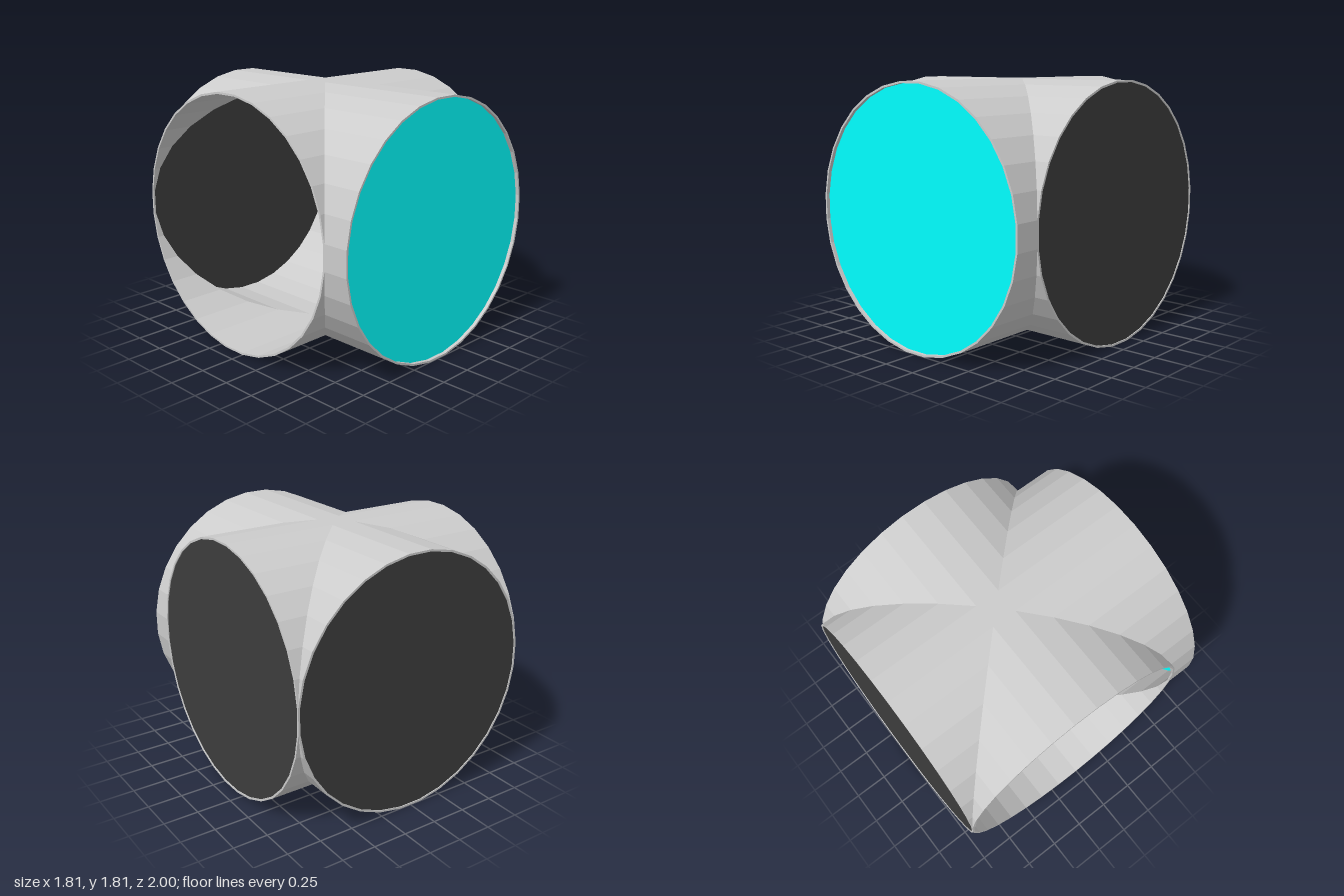
import * as THREE from 'three';

const SIDES = 32;
const FLAT = 0.907;                               // centre to flat side, outer
const WALL = 0.014;
const HALF_STEP = Math.PI / SIDES;
const R_OUT = FLAT / Math.cos(HALF_STEP);
const R_IN = (FLAT - WALL) / Math.cos(HALF_STEP);
const CENTRE_Z = -0.093;

// One hollow arm along +z, mitred where it meets the neighbouring arms
function armGeometry(length) {
  const pos = [];
  const point = (r, i, end) => {
    const a = (i + 0.5) * 2 * HALF_STEP;
    const x = r * Math.cos(a);
    return [x, r * Math.sin(a), end ? length : Math.min(Math.abs(x), length)];
  };
  const quad = (a, b, c, d) => pos.push(...a, ...b, ...c, ...a, ...c, ...d);
  for (let i = 0; i < SIDES; i++) {
    const j = i + 1;
    // outer wall, inner wall, end rim
    quad(point(R_OUT, i, false), point(R_OUT, j, false), point(R_OUT, j, true), point(R_OUT, i, true));
    quad(point(R_IN, j, false), point(R_IN, i, false), point(R_IN, i, true), point(R_IN, j, true));
    quad(point(R_OUT, i, true), point(R_OUT, j, true), point(R_IN, j, true), point(R_IN, i, true));
  }
  const g = new THREE.BufferGeometry();
  g.setAttribute('position', new THREE.Float32BufferAttribute(pos, 3));
  g.computeVertexNormals();
  return g;
}

export function createModel() {
  const model = new THREE.Group();
  model.name = 'crossedPipes';
  const grey = new THREE.MeshStandardMaterial({ color: 0xcccccc, flatShading: true });
  const cyan = new THREE.MeshStandardMaterial({ color: 0x00ffff, side: THREE.DoubleSide });
  const dark = new THREE.MeshStandardMaterial({ color: 0x3c3c3c, side: THREE.DoubleSide });

  const arms = [
    { name: 'front', turn: 0, length: 1 - CENTRE_Z, cap: cyan, inset: 0.025 },
    { name: 'left', turn: Math.PI / 2, length: FLAT, cap: dark, inset: 0.006 },
    { name: 'back', turn: Math.PI, length: FLAT, cap: dark, inset: 0.006 },
    { name: 'right', turn: -Math.PI / 2, length: FLAT },   // open end
  ];
  for (const { name, turn, length, cap, inset } of arms) {
    const arm = new THREE.Group();
    arm.name = name + 'Arm';
    arm.rotation.y = turn;
    arm.position.set(0, FLAT, CENTRE_Z);
    const pipe = new THREE.Mesh(armGeometry(length), grey);
    pipe.name = name + 'Pipe';
    arm.add(pipe);
    if (cap) {
      const disc = new THREE.Mesh(new THREE.CircleGeometry(R_IN, SIDES, HALF_STEP), cap);
      disc.name = name + 'Cap';
      disc.position.z = length - inset;
      arm.add(disc);
    }
    model.add(arm);
  }

  // Small flat squares where the top and bottom strips of the pipes cross
  const side = 2 * R_OUT * Math.sin(HALF_STEP);
  for (const s of [1, -1]) {
    const patch = new THREE.Mesh(new THREE.BoxGeometry(side, WALL, side), grey);
    patch.name = s > 0 ? 'topCrossing' : 'bottomCrossing';
    patch.position.set(0, FLAT + s * (FLAT - WALL / 2), CENTRE_Z);
    model.add(patch);
  }
  return model;
}
